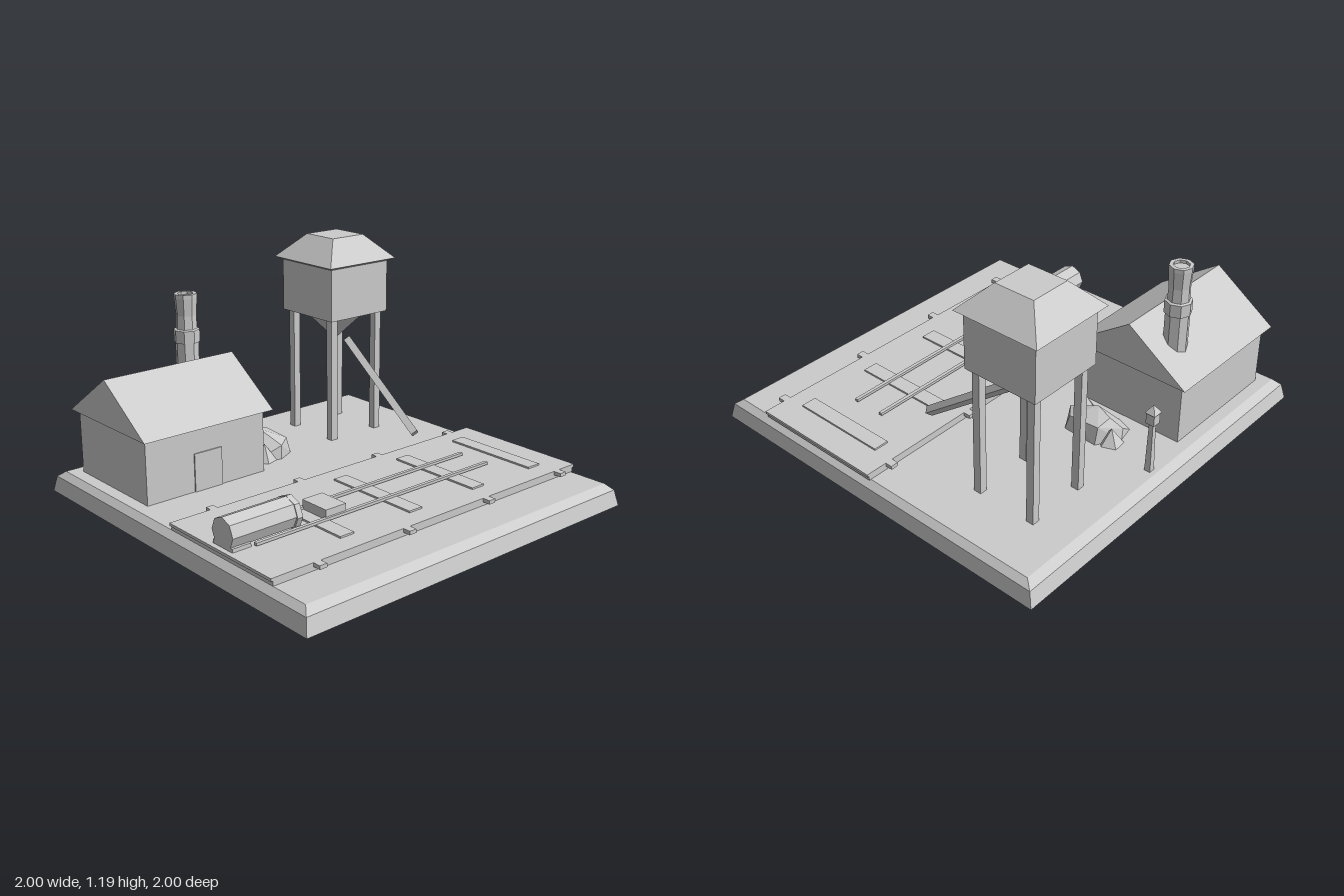
import * as THREE from 'three';
import { ConvexGeometry } from 'three/addons/geometries/ConvexGeometry.js';

export function createModel() {
  const model = new THREE.Group();
  const grey = new THREE.MeshStandardMaterial({ color: 0xcccccc, flatShading: true });
  grey.name = 'plain grey';

  function add(name, geometry, x = 0, y = 0, z = 0) {
    const mesh = new THREE.Mesh(geometry, grey);
    mesh.name = name;
    mesh.position.set(x, y, z);
    model.add(mesh);
    return mesh;
  }
  // Box given by its centre in plan and its bottom and top heights
  function box(name, x, z, w, d, y0, y1) {
    return add(name, new THREE.BoxGeometry(w, y1 - y0, d), x, (y0 + y1) / 2, z);
  }
  // Box whose bottom and top have different half widths
  function frustum(name, x, z, y0, y1, bottom, top) {
    const g = new THREE.BoxGeometry(2, y1 - y0, 2);
    const p = g.attributes.position;
    for (let i = 0; i < p.count; i++) {
      const [hx, hz] = p.getY(i) < 0 ? bottom : top;
      p.setX(i, p.getX(i) * hx);
      p.setZ(i, p.getZ(i) * hz);
    }
    g.computeVertexNormals();
    return add(name, g, x, (y0 + y1) / 2, z);
  }

  // Ground slab with bevelled rim
  frustum('groundSlab', 0, 0, 0, 0.08, [1, 1], [0.98, 0.985]);
  frustum('groundTop', 0, 0, 0.08, 0.11, [0.98, 0.985], [0.94, 0.955]);

  // Track platform with edge brackets
  box('platformBase', 0.37, -0.005, 0.73, 1.92, 0.11, 0.135);
  box('platformTop', 0.37, -0.005, 0.73, 1.94, 0.133, 0.147);
  for (const z of [-0.84, -0.32, 0.2, 0.72])
    for (const x of [-0.012, 0.755]) box('bracket', x, z, 0.04, 0.04, 0.128, 0.147);

  // Sleepers, rails and bumper
  for (const z of [-0.79, -0.38, 0.04, 0.46]) box('sleeper', 0.37, z, 0.52, 0.08, 0.147, 0.156);
  for (const x of [0.287, 0.457]) box('rail', x, 0.1, 0.018, 1.46, 0.154, 0.168);
  box('bumper', 0.372, 0.37, 0.165, 0.12, 0.15, 0.203);

  // Tank lying on the track
  const barrel = add('barrel', new THREE.CylinderGeometry(0.076, 0.076, 0.37, 8), 0.372, 0.213, 0.755);
  barrel.rotation.x = Math.PI / 2;
  const flange = add('barrelFlange', new THREE.CylinderGeometry(0.083, 0.083, 0.03, 8), 0.372, 0.208, 0.577);
  flange.rotation.x = Math.PI / 2;
  box('barrelCradle', 0.372, 0.89, 0.14, 0.1, 0.147, 0.165);

  // House
  box('houseWalls', -0.585, 0.545, 0.59, 0.69, 0.11, 0.437);
  const gable = new THREE.Shape([
    new THREE.Vector2(-0.333, 0), new THREE.Vector2(0.333, 0), new THREE.Vector2(0, 0.23),
  ]);
  add('houseRoof', new THREE.ExtrudeGeometry(gable, { depth: 0.75, bevelEnabled: false }), -0.585, 0.436, 0.165);
  box('door', -0.288, 0.54, 0.009, 0.16, 0.11, 0.305);

  // Chimney
  const profile = [[0, 0.45], [0.06, 0.45], [0.06, 0.72], [0.067, 0.72], [0.067, 0.785], [0.055, 0.79],
    [0.052, 0.86], [0.059, 0.95], [0.059, 0.97], [0.04, 0.97], [0.04, 0.955], [0, 0.955]];
  add('chimney', new THREE.LatheGeometry(profile.map(([r, y]) => new THREE.Vector2(r, y)), 8), -0.735, 0, 0.335);

  // Water tower
  const tx = -0.573, tz = -0.522;
  for (const sx of [-1, 1])
    for (const sz of [-1, 1]) box('towerLeg', tx + sx * 0.155, tz + sz * 0.155, 0.04, 0.04, 0.11, 0.777);
  box('towerTank', tx, tz, 0.394, 0.394, 0.775, 1.052);
  frustum('towerEaves', tx, tz, 1.05, 1.065, [0.197, 0.197], [0.228, 0.228]);
  frustum('towerRoof', tx, tz, 1.065, 1.19, [0.228, 0.228], [0.105, 0.105]);
  frustum('towerFunnel', tx, tz, 0.63, 0.776, [0.012, 0.012], [0.122, 0.122]);

  // Sloping spout, turned on its edge
  const from = new THREE.Vector3(-0.47, 0.632, tz), to = new THREE.Vector3(0.056, 0.234, tz);
  const spoutShape = new THREE.BoxGeometry(0.038, 0.038, from.distanceTo(to)).rotateZ(Math.PI / 4);
  const spout = add('spout', spoutShape);
  spout.position.copy(from).lerp(to, 0.5);
  spout.lookAt(to);

  // Lamp post
  frustum('lampPole', -0.9, -0.055, 0.11, 0.38, [0.016, 0.016], [0.011, 0.011]);
  box('lampHead', -0.9, -0.055, 0.045, 0.045, 0.378, 0.44);
  frustum('lampCap', -0.9, -0.055, 0.437, 0.476, [0.028, 0.028], [0.001, 0.001]);

  // Rock pile
  const rock = (name, points) => add(name, new ConvexGeometry(points.map(p => new THREE.Vector3(...p))));
  rock('largeRock', [
    [-0.67, 0.11, 0.04], [-0.65, 0.11, 0.13], [-0.57, 0.11, 0.16], [-0.42, 0.11, 0.155], [-0.36, 0.11, 0.03],
    [-0.41, 0.11, -0.07], [-0.6, 0.11, -0.08], [-0.6, 0.2, -0.06], [-0.43, 0.19, -0.06], [-0.37, 0.18, 0.02],
    [-0.52, 0.235, 0.045], [-0.61, 0.22, 0.02], [-0.66, 0.16, 0.06],
  ]);
  for (const [x, z, h, turn] of [[-0.645, -0.01, 0.19, 0.4], [-0.405, 0.105, 0.2, 0]]) {
    const small = add('smallRock', new THREE.ConeGeometry(0.062, h - 0.11, 5), x, (h + 0.11) / 2, z);
    small.rotation.y = turn;
  }
  return model;
}
